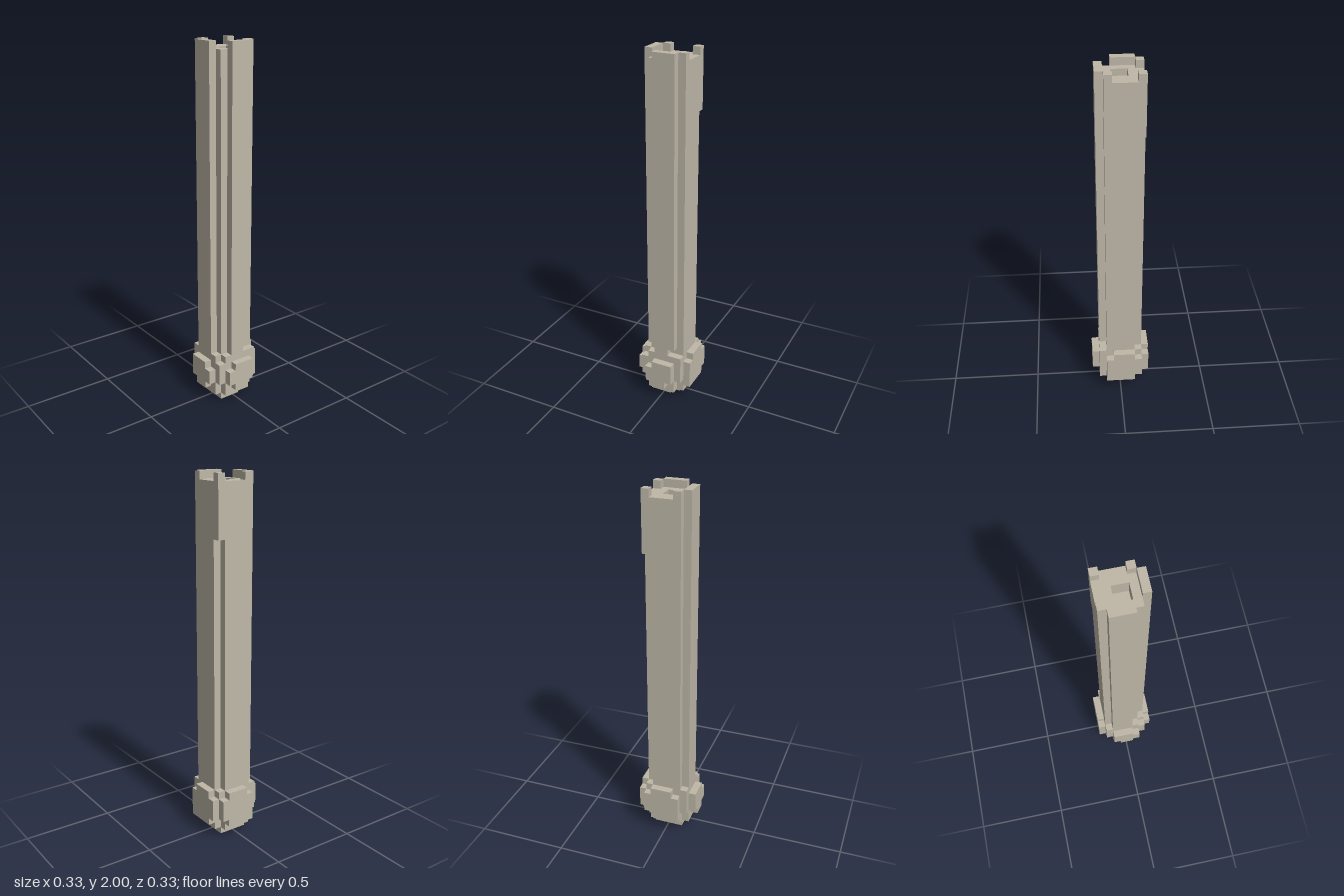
import * as THREE from 'three';

const U = 2 / 49; // edge of one block

export function createModel() {
  const group = new THREE.Group();
  group.name = 'blockRod';
  const stone = new THREE.MeshStandardMaterial({ color: 0xbfb8a8 });
  stone.name = 'paleStone';

  const add = (name, geometry) => {
    geometry.scale(U, U, U);
    const mesh = new THREE.Mesh(geometry, stone);
    mesh.name = name;
    group.add(mesh);
  };
  // Block spanning the given ranges, in block units
  const box = (name, x0, x1, y0, y1, z0, z1) => {
    const g = new THREE.BoxGeometry(x1 - x0, y1 - y0, z1 - z0);
    g.translate((x0 + x1) / 2, (y0 + y1) / 2, (z0 + z1) / 2);
    add(name, g);
  };
  // Plan outline (x, z) raised from y0 to y1, optionally with a square hole
  const toV = ([x, z]) => new THREE.Vector2(x, -z);
  const slab = (name, outline, y0, y1, hole) => {
    const shape = new THREE.Shape(outline.map(toV));
    if (hole) shape.holes.push(new THREE.Path(hole.map(toV)));
    const g = new THREE.ExtrudeGeometry(shape, { depth: y1 - y0, bevelEnabled: false });
    g.rotateX(-Math.PI / 2);
    g.translate(0, y0, 0);
    add(name, g);
  };

  // Shaft: square with stepped corners
  const shaftOutline = (frontEnd, backCorner) => [
    [-1, 3], [frontEnd, 3], [frontEnd, 2], [3, 2],
    ...backCorner,
    [-2, -3], [-2, -2], [-3, -2], [-3, 1], [-2, 1], [-2, 2], [-1, 2],
  ];
  const notched = [[3, -2], [2, -2], [2, -3]];
  const filled = [[3, -3]];
  const socket = [[-1, -1], [1, -1], [1, 1], [-1, 1]];
  slab('shaftFoot', shaftOutline(1, notched), 7, 8);
  slab('shaft', shaftOutline(2, notched), 8, 41);
  slab('shaftHead', shaftOutline(2, filled), 41, 46);
  slab('shaftSocket', shaftOutline(2, filled), 46, 48, socket);

  // Broken rim around the top
  box('rimLeftWall', -3, -2, 48, 49, -2, 1);
  box('rimFrontWall', -1, 2, 48, 49, 2, 3);
  box('rimBackStub', -2, -1, 48, 49, -3, -2);
  box('rimCornerStub', 2, 3, 48, 49, -3, -2);
  box('rimSideStub', 2, 3, 48, 49, 1, 2);

  // Pommel core, stepped towards the bottom
  const cross = [
    [-2, 3], [2, 3], [2, 2], [3, 2], [3, -2], [2, -2],
    [2, -3], [-2, -3], [-2, -2], [-3, -2], [-3, 2], [-2, 2],
  ];
  slab('pommelBase', [[-2, 2], [1, 2], [1, 1], [2, 1], [2, -2], [-2, -2]], 0, 1);
  slab('pommelLower', cross, 1, 3);
  box('pommelCore', -3, 3, 3, 6, -3, 3);
  slab('pommelTop', [[-2, 3], [3, 3], [3, -3], [-3, -3], [-3, 2], [-2, 2]], 6, 7);

  // Pommel plates, each row as [y0, y1, start, end]
  const smallPlate = [[2, 3, -1, 1], [3, 5, -2, 2]];
  for (const [y0, y1, a, b] of [...smallPlate, [5, 6, -1, 2]]) box('frontPlate', a, b, y0, y1, 3, 4);
  for (const [y0, y1, a, b] of [...smallPlate, [5, 6, -2, 1]]) box('rightPlate', -4, -3, y0, y1, a, b);
  for (const [y0, y1, a, b] of [[2, 3, -2, 2], [3, 6, -3, 2], [6, 7, -2, 1]]) {
    box('leftPlate', 3, 4, y0, y1, a, b);
    box('backPlate', -b, -a, y0, y1, -4, -3);
  }
  return group;
}
